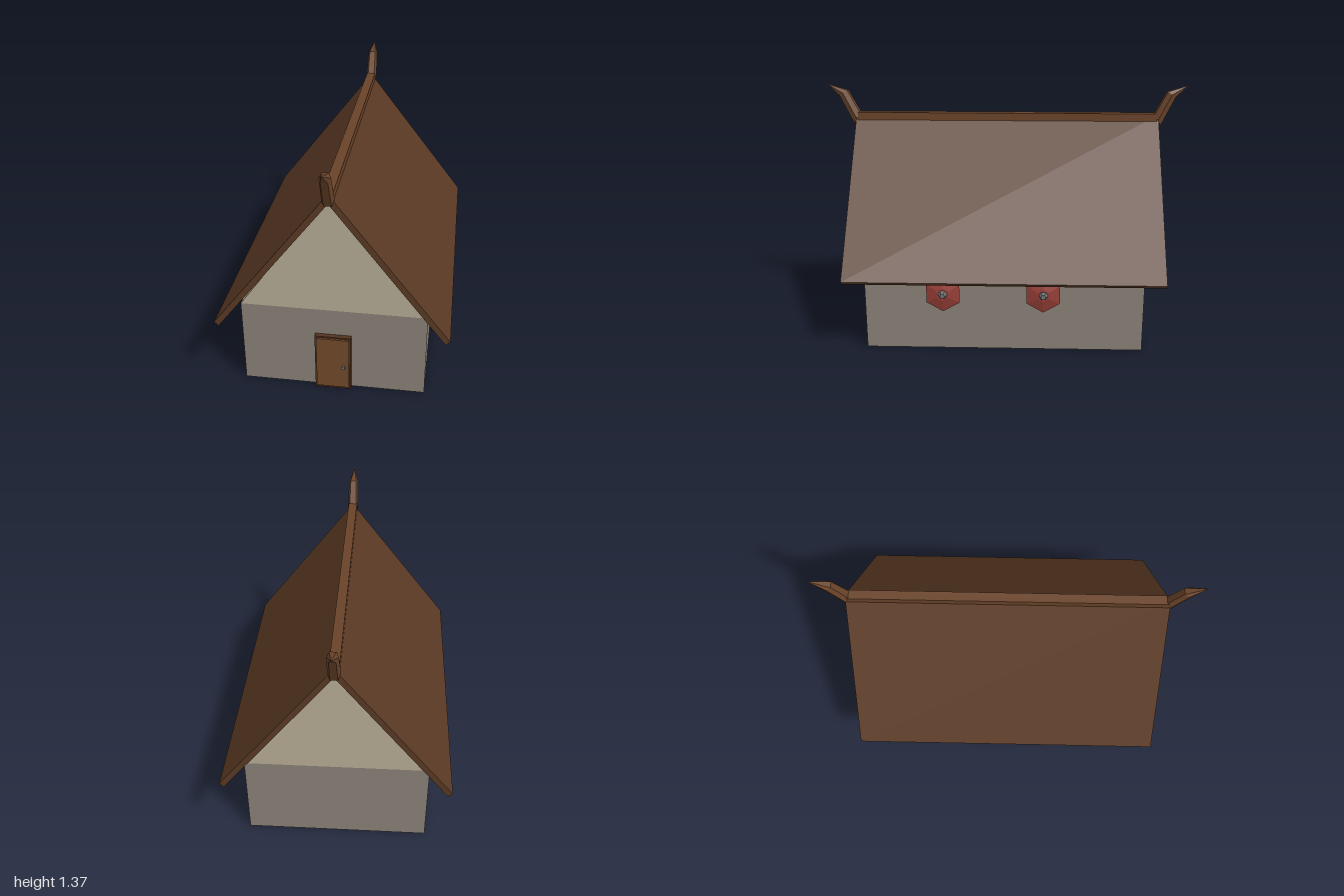
import * as THREE from 'three';

const mat = (name, color, flatShading = false) => {
  const m = new THREE.MeshStandardMaterial({ color, flatShading });
  m.name = name;
  return m;
};

export function createModel() {
  const stone = mat('stone wall', 0x8a8279);
  const plaster = mat('pale gable', 0xb8ad97);
  const roofWood = mat('roof wood', 0x5a3924);
  const ridgeWood = mat('ridge wood', 0x6a4329, true);
  const doorWood = mat('door wood', 0x744a2b);
  const frameWood = mat('frame wood', 0x53341f);
  const red = mat('shield red', 0x983f38, true);
  const iron = mat('iron', 0x707274, true);

  const house = new THREE.Group();
  house.name = 'house';
  const add = (name, geometry, material, x = 0, y = 0, z = 0, parent = house) => {
    const mesh = new THREE.Mesh(geometry, material);
    mesh.name = name;
    mesh.position.set(x, y, z);
    parent.add(mesh);
    return mesh;
  };
  const box = (name, w, h, d, material, x, y, z) =>
    add(name, new THREE.BoxGeometry(w, h, d), material, x, y, z);
  // Prism along z, centred on z = 0
  const prism = (points, depth) => {
    const shape = new THREE.Shape(points.map(([x, y]) => new THREE.Vector2(x, y)));
    return new THREE.ExtrudeGeometry(shape, { depth, bevelEnabled: false }).translate(0, 0, -depth / 2);
  };

  // Walls and gable block
  box('walls', 0.964, 0.482, 1.49, stone, 0, 0.241, 0);
  add('gables', prism([[-0.482, 0.482], [0.482, 0.482], [0, 1.15]], 1.49), plaster);

  // Two sloping roof panels
  for (const s of [1, -1]) {
    const profile = [[0.6, 0.424], [0, 1.2], [0, 1.15], [0.577, 0.403]];
    add(s > 0 ? 'roofLeft' : 'roofRight', prism(profile.map(([x, y]) => [s * x, y]), 1.688), roofWood);
  }

  // Ridge beam
  box('ridgeBeam', 0.05, 0.07, 1.67, ridgeWood, 0, 1.175, 0);

  // Curved horns: six-sided sections that bend outward and close in a point
  const sections = [
    { inner: [1.209, 0.823], outer: [1.144, 0.855], w: 0.032 },
    { inner: [1.332, 0.888], outer: [1.303, 0.932], w: 0.028 },
    { inner: [1.365, 1.0], outer: [1.364, 1.0], w: 0.001 },
  ];
  const ring = [[-0.6, 0], [0.6, 0], [1, 0.5], [0.6, 1], [-0.6, 1], [-1, 0.5]];
  const positions = [];
  for (const { inner, outer, w } of sections)
    for (const [u, t] of ring)
      positions.push(u * w, inner[0] + (outer[0] - inner[0]) * t, inner[1] + (outer[1] - inner[1]) * t);
  const index = [];
  for (let i = 0; i < 2; i++)
    for (let j = 0; j < 6; j++) {
      const a = i * 6 + j, b = i * 6 + (j + 1) % 6;
      index.push(a, a + 6, b, b, a + 6, b + 6);
    }
  for (let j = 1; j < 5; j++) index.push(0, j, j + 1);
  const hornGeometry = new THREE.BufferGeometry();
  hornGeometry.setAttribute('position', new THREE.Float32BufferAttribute(positions, 3));
  hornGeometry.setIndex(index);
  hornGeometry.computeVertexNormals();
  ridgeWood.side = THREE.DoubleSide;
  add('frontHorn', hornGeometry, ridgeWood);
  add('backHorn', hornGeometry, ridgeWood).rotation.y = Math.PI;

  // Door with frame and knob
  box('doorFrame', 0.19, 0.332, 0.03, frameWood, 0, 0.166, 0.755);
  box('door', 0.172, 0.308, 0.02, doorWood, 0, 0.17, 0.77);
  box('doorKnob', 0.016, 0.018, 0.012, iron, 0.056, 0.15, 0.784);

  // Hexagonal shields hung on the left wall
  const shieldProfile = [[0, 0], [0.08, 0], [0.102, 0.012], [0.035, 0.028], [0, 0.028]]
    .map(([r, h]) => new THREE.Vector2(r, h));
  for (const z of [0.325, -0.21]) {
    const shield = new THREE.Group();
    shield.name = 'shield';
    shield.position.set(0.481, 0.322, z);
    shield.rotation.z = -Math.PI / 2;
    add('shieldDisc', new THREE.LatheGeometry(shieldProfile, 6, Math.PI / 2), red, 0, 0, 0, shield);
    add('shieldBoss', new THREE.CylinderGeometry(0.014, 0.026, 0.024, 6), iron, 0, 0.038, 0, shield);
    house.add(shield);
  }
  return house;
}
